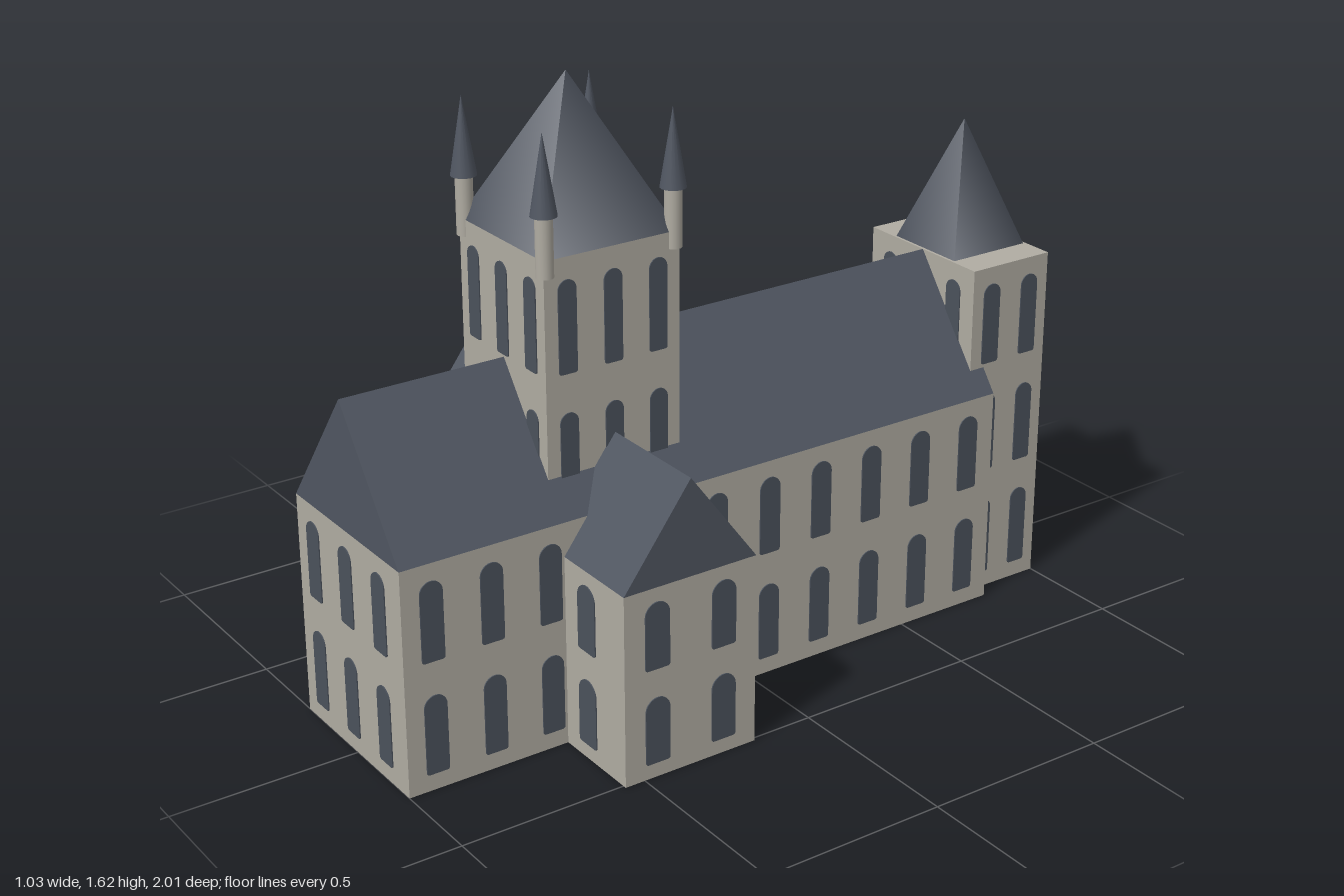
import * as THREE from 'three';

export function createModel() {
  const model = new THREE.Group();
  model.name = 'church';

  const mat = (name, color) => {
    const m = new THREE.MeshStandardMaterial({ color });
    m.name = name;
    return m;
  };
  const stone = mat('stone', 0xb0aca2);
  const slate = mat('slate', 0x505661);
  const glass = mat('glass', 0x4b525c);

  const add = (name, geometry, material, x = 0, y = 0, z = 0, ry = 0) => {
    const mesh = new THREE.Mesh(geometry, material);
    mesh.name = name;
    mesh.position.set(x, y, z);
    mesh.rotation.y = ry;
    model.add(mesh);
    return mesh;
  };

  // Solid wall block given by its footprint centre, sizes and heights
  const block = (name, w, d, y0, y1, z) =>
    add(name, new THREE.BoxGeometry(w, y1 - y0, d), stone, 0, (y0 + y1) / 2, z);

  // Gabled roof prism with its ridge along the local z axis
  const gable = (name, halfWidth, height, length, y, z, ry = 0) => {
    const tri = new THREE.Shape([
      new THREE.Vector2(-halfWidth, 0),
      new THREE.Vector2(halfWidth, 0),
      new THREE.Vector2(0, height),
    ]);
    const g = new THREE.ExtrudeGeometry(tri, { depth: length, bevelEnabled: false });
    g.translate(0, 0, -length / 2);
    add(name, g, slate, 0, y, z, ry);
  };

  // Four-sided spire, softly shaded around its corners
  const pyramid = (name, half, height, y, z) => {
    const g = new THREE.ConeGeometry(half * Math.SQRT2, height, 4);
    g.rotateY(Math.PI / 4);
    add(name, g, slate, 0, y + height / 2, z);
  };

  // Round-headed window plate, base at the origin, facing +z
  const windowPlate = (w, h) => {
    const r = w / 2;
    const s = new THREE.Shape();
    s.moveTo(-r, 0.008);
    s.quadraticCurveTo(-r, 0, -r + 0.008, 0);
    s.lineTo(r - 0.008, 0);
    s.quadraticCurveTo(r, 0, r, 0.008);
    s.lineTo(r, h - r);
    s.absarc(0, h - r, r, 0, Math.PI, false);
    s.closePath();
    return new THREE.ExtrudeGeometry(s, { depth: 0.003, bevelEnabled: false, curveSegments: 10 });
  };

  // Grid of windows on one wall: side is 'front', 'back', 'left' or 'right'
  const turns = { front: 0, left: Math.PI / 2, back: Math.PI, right: -Math.PI / 2 };
  const windows = (name, side, wall, columns, rows, w, h) => {
    const g = windowPlate(w, h);
    const alongX = side === 'front' || side === 'back';
    for (const c of columns)
      for (const y of rows)
        add(name, g, glass, alongX ? c : wall, y, alongX ? wall : c, turns[side]);
  };
  const sides = (name, halfX, ...rest) => {
    windows(name, 'left', halfX, ...rest);
    windows(name, 'right', -halfX, ...rest);
  };

  // Nave
  block('naveWalls', 0.51, 1.79, 0, 0.6, 0.105);
  gable('naveRoof', 0.255, 0.34, 1.79, 0.6, 0.105);
  const naveRows = [0.045, 0.345];
  windows('naveFrontWindow', 'front', 1, [-0.175, -0.0125, 0.15], naveRows, 0.062, 0.21);
  const naveColumns = [];
  for (let i = 0; i < 11; i++) {
    const z = 0.92 - i * 0.1625;
    if (z < 0.15 || z > 0.56) naveColumns.push(z); // skip the crossing
  }
  sides('naveSideWindow', 0.255, naveColumns, naveRows, 0.062, 0.21);

  // Transept
  const cz = 0.365;
  block('transeptWalls', 1.02, 0.38, 0, 0.51, cz);
  gable('transeptRoof', 0.19, 0.255, 1.02, 0.51, cz, Math.PI / 2);
  const wingRows = [0.04, 0.295];
  windows('transeptFrontWindow', 'front', cz + 0.19, [-0.417, 0.35], wingRows, 0.074, 0.178);
  windows('transeptBackWindow', 'back', cz - 0.19, [-0.417, 0.35], wingRows, 0.074, 0.178);
  sides('transeptEndWindow', 0.51, [0.27, 0.462], wingRows, 0.07, 0.178);

  // Crossing tower
  block('crossingTower', 0.38, 0.38, 0.6, 1.24, cz);
  pyramid('crossingSpire', 0.19, 0.38, 1.24, cz);
  const bays = [-0.128, 0, 0.128];
  const towerRows = [0.61, 0.947];
  windows('crossingFrontWindow', 'front', cz + 0.19, bays, towerRows, 0.051, 0.237);
  windows('crossingBackWindow', 'back', cz - 0.19, bays, towerRows, 0.051, 0.237);
  sides('crossingSideWindow', 0.19, bays.map((b) => b + cz), towerRows, 0.051, 0.237);

  // Corner turrets
  const shaft = new THREE.CylinderGeometry(0.022, 0.022, 0.15, 16);
  const cap = new THREE.ConeGeometry(0.033, 0.2, 16);
  for (const sx of [-1, 1])
    for (const sz of [-1, 1]) {
      add('turretShaft', shaft, stone, sx * 0.18, 1.272, cz + sz * 0.18);
      add('turretCap', cap, slate, sx * 0.18, 1.447, cz + sz * 0.18);
    }

  // Rear tower
  const rz = -0.8725;
  block('rearTower', 0.42, 0.255, 0, 0.94, rz);
  pyramid('rearSpire', 0.12, 0.34, 0.94, rz);
  const rearRows = [0.045, 0.357, 0.67];
  const rearBays = [-0.13, 0, 0.13];
  windows('rearBackWindow', 'back', -1, rearBays, rearRows, 0.055, 0.223);
  windows('rearFrontWindow', 'front', -0.745, rearBays, [0.67], 0.055, 0.223);
  sides('rearSideWindow', 0.21, [-0.937, -0.808], rearRows, 0.055, 0.223);

  return model;
}
